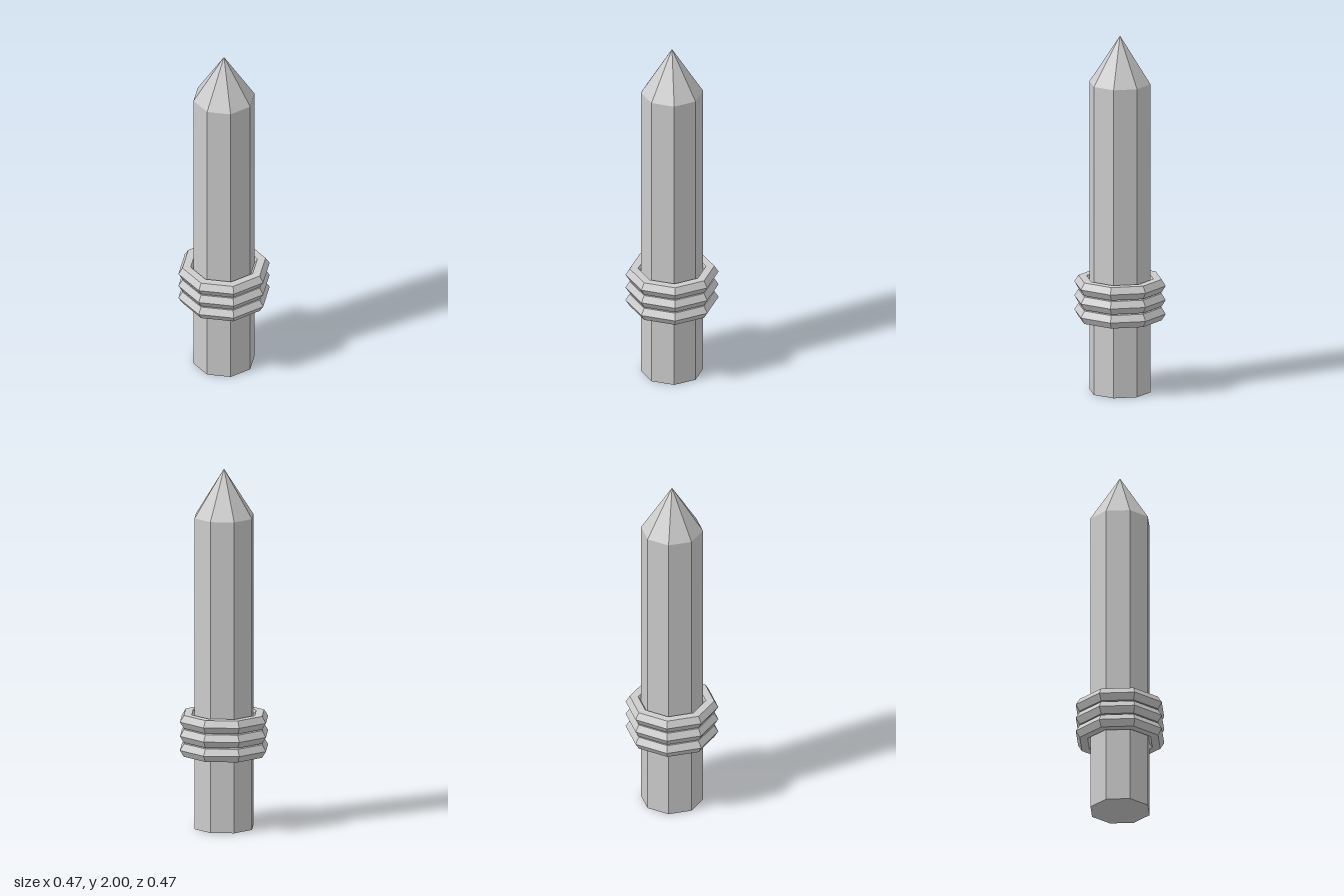
import * as THREE from 'three';

const SIDES = 8;
const TURN = Math.PI / SIDES; // puts flat faces on the x and z axes
const SHAFT_RADIUS = 0.17;
const SHOULDER = 1.735;

// Split the faces so every facet is flat
function faceted(geometry) {
  const flat = geometry.toNonIndexed();
  flat.computeVertexNormals();
  return flat;
}

export function createModel() {
  const model = new THREE.Group();
  model.name = 'pointedStake';
  const grey = new THREE.MeshStandardMaterial({ color: 0xcccccc });
  grey.name = 'grey';

  function add(name, geometry, y) {
    const mesh = new THREE.Mesh(faceted(geometry), grey);
    mesh.name = name;
    mesh.position.y = y;
    model.add(mesh);
  }

  // Octagonal shaft
  add('shaft', new THREE.CylinderGeometry(SHAFT_RADIUS, SHAFT_RADIUS, SHOULDER, SIDES, 1, false, TURN), SHOULDER / 2);

  // Pointed tip
  const tipHeight = 2 - SHOULDER;
  add('tip', new THREE.ConeGeometry(SHAFT_RADIUS, tipHeight, SIDES, 1, true, TURN), SHOULDER + tipHeight / 2);

  // Three bands with a hexagonal cross-section
  const section = [];
  for (let i = 0; i <= 6; i++) {
    const a = (i * Math.PI) / 3;
    section.push(new THREE.Vector2(0.209 + 0.0455 * Math.cos(a), 0.042 * Math.sin(a)));
  }
  ['lowerBand', 'middleBand', 'upperBand'].forEach((name, i) => {
    add(name, new THREE.LatheGeometry(section, SIDES, TURN), 0.445 + i * 0.079);
  });

  return model;
}
